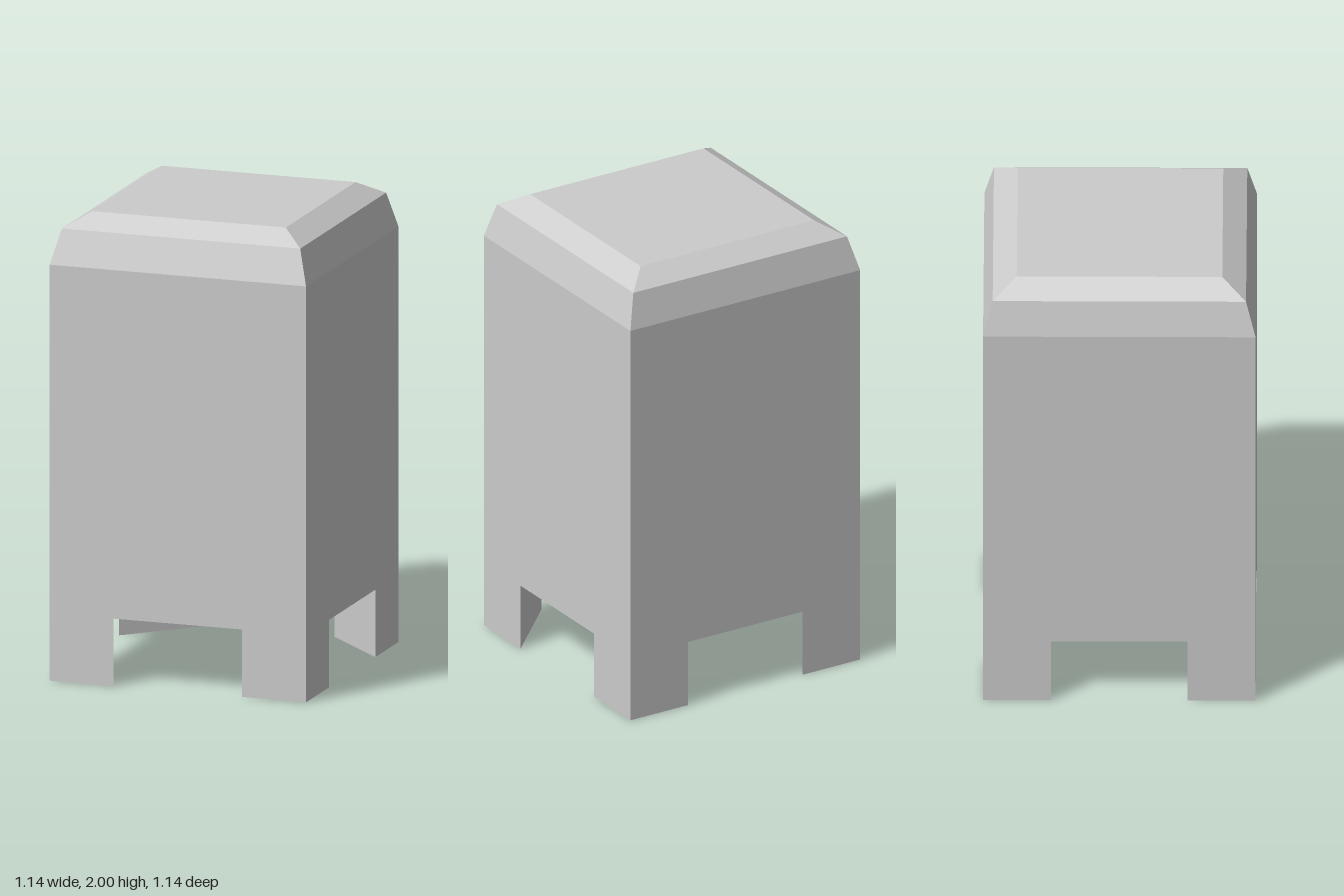
import * as THREE from 'three';

const material = new THREE.MeshStandardMaterial({ color: 0xcccccc, flatShading: true });
const HALF = 0.57;       // half width of the body
const LEG_WIDTH = 0.285; // leg length along each wall
const LEG_HEIGHT = 0.29;

// Square body turned from a [half width, height] profile, with a two-step bevelled top
function createBody() {
  const profile = [[0, LEG_HEIGHT], [HALF, LEG_HEIGHT], [HALF, 1.79], [0.53, 1.94], [0.43, 2], [0, 2]]
    .map(([half, y]) => new THREE.Vector2(half * Math.SQRT2, y));
  const geometry = new THREE.LatheGeometry(profile, 4, Math.PI / 4).toNonIndexed();
  geometry.computeVertexNormals();
  const body = new THREE.Mesh(geometry, material);
  body.name = 'body';
  return body;
}

// Four triangular corner legs, flush with the walls
function createLegs() {
  const legs = new THREE.Group();
  legs.name = 'legs';
  const corner = new THREE.Shape([
    new THREE.Vector2(HALF, HALF),
    new THREE.Vector2(HALF - LEG_WIDTH, HALF),
    new THREE.Vector2(HALF, HALF - LEG_WIDTH),
  ]);
  const geometry = new THREE.ExtrudeGeometry(corner, { depth: LEG_HEIGHT, bevelEnabled: false });
  geometry.rotateX(-Math.PI / 2);
  ['backLeft', 'backRight', 'frontRight', 'frontLeft'].forEach((place, i) => {
    const leg = new THREE.Mesh(geometry, material);
    leg.name = place + 'Leg';
    leg.rotation.y = i * Math.PI / 2;
    legs.add(leg);
  });
  return legs;
}

export function createModel() {
  const model = new THREE.Group();
  model.name = 'bevelledBlockOnLegs';
  model.add(createBody(), createLegs());
  return model;
}
